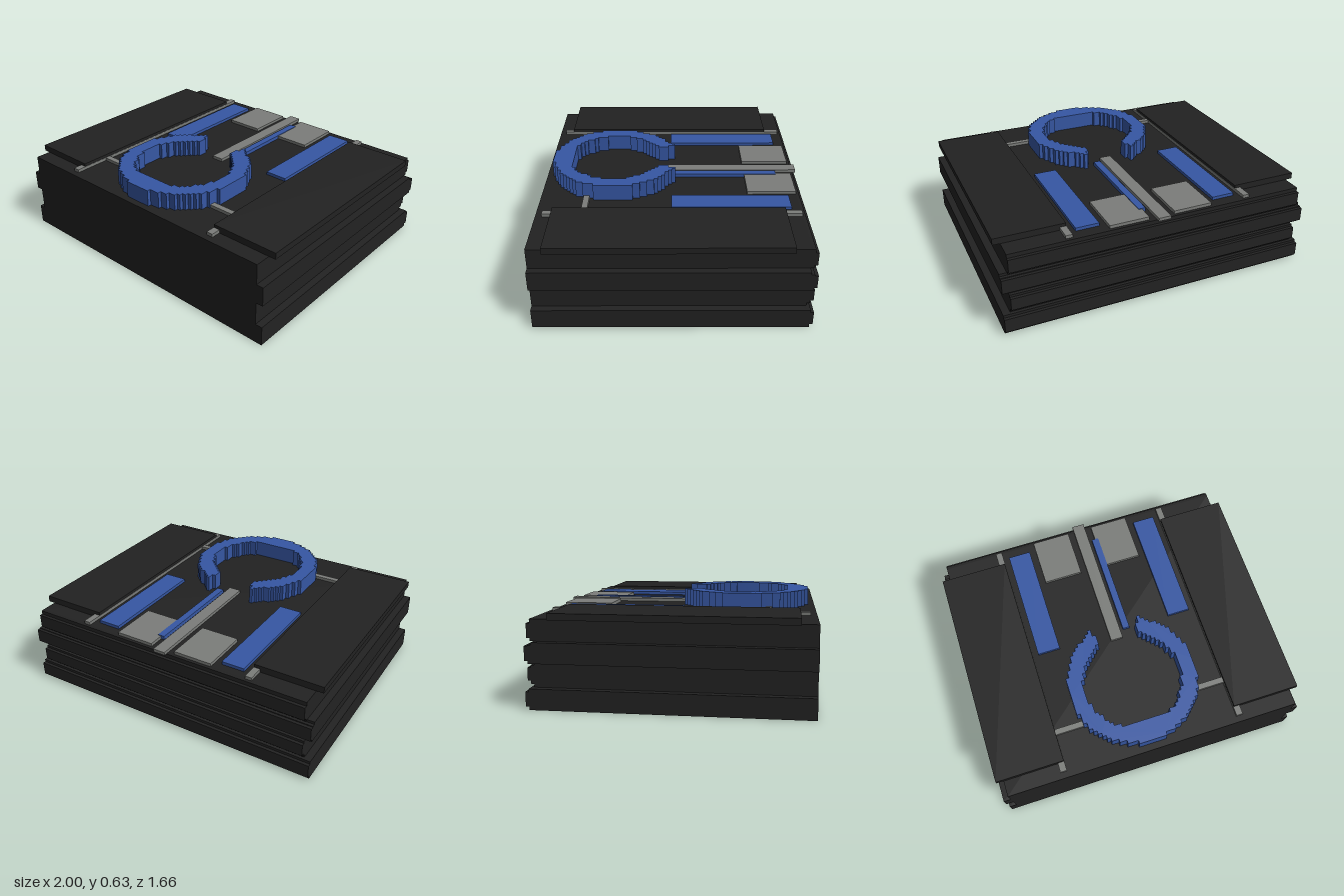
import * as THREE from 'three';

const black = new THREE.MeshStandardMaterial({ color: 0x222222 });
black.name = 'black';
const blue = new THREE.MeshStandardMaterial({ color: 0x3657a3 });
blue.name = 'blue';
const grey = new THREE.MeshStandardMaterial({ color: 0x7b7d7a });
grey.name = 'grey';

// box from its minimum and maximum on each axis
function box(parent, name, material, [x0, x1], [y0, y1], [z0, z1]) {
  const mesh = new THREE.Mesh(new THREE.BoxGeometry(x1 - x0, y1 - y0, z1 - z0), material);
  mesh.position.set((x0 + x1) / 2, (y0 + y1) / 2, (z0 + z1) / 2);
  mesh.name = name;
  parent.add(mesh);
  return mesh;
}

// the same box on both sides of x = 0
function pair(parent, name, material, [x0, x1], y, z) {
  box(parent, name + 'Left', material, [x0, x1], y, z);
  box(parent, name + 'Right', material, [-x1, -x0], y, z);
}

// open ring with a stepped, block-like outline
function steppedRing() {
  const step = 0.0225, cz = 0.375, outerR = 0.414, innerR = 0.312;
  const snap = (v) => Math.round(v / step) * step;
  const half = (r, dz) => Math.sqrt(Math.max(0, r * r - dz * dz));
  const outer = [], inner = [];
  for (let i = 0; i < 36; i++) {
    const z0 = -0.022 + i * step, z1 = z0 + step;
    const dz = (z0 + z1) / 2 - cz;
    const xi = Math.max(snap(half(innerR, dz)), snap(-0.42 * dz));
    const xo = Math.max(snap(half(outerR, dz)), xi + step);
    outer.push([xo, z0], [xo, z1]);
    if (z1 < cz + 0.3) inner.push([xi, z0], [xi, z1]);
  }
  const flip = (list) => list.map(([x, z]) => [-x, z]);
  const outline = [
    ...outer, ...flip(outer).reverse(),
    ...flip(inner), ...inner.slice().reverse(),
  ].map(([x, z]) => new THREE.Vector2(x, -z));
  const geometry = new THREE.ExtrudeGeometry(new THREE.Shape(outline), {
    depth: 0.105, bevelEnabled: false,
  });
  geometry.rotateX(-Math.PI / 2);
  return geometry;
}

export function createModel() {
  const model = new THREE.Group();
  model.name = 'model';

  // stacked body layers: bottom, top, half width, step range, ridge range
  const body = new THREE.Group();
  body.name = 'body';
  model.add(body);
  const layers = [
    [0, 0.125, 1, 0, 0.125, 0.02, 0.108],
    [0.125, 0.272, 0.955, 0.143, 0.255, 0.163, 0.24],
    [0.272, 0.396, 1, 0.272, 0.38, 0.288, 0.375],
    [0.396, 0.525, 0.955, 0.396, 0.525, 0.415, 0.5],
  ];
  for (const [y0, y1, w, s0, s1, r0, r1] of layers) {
    box(body, 'bodyLayer', black, [-w, w], [y0, y1], [-0.79, 0.83]);
    box(body, 'backStep', black, [-w, w], [s0, s1], [-0.81, -0.79]);
    box(body, 'backRidge', black, [-w, w], [r0, r1], [-0.83, -0.81]);
  }

  // raised side panels with thin strips running under their inner edges
  const top = 0.525;
  pair(model, 'sidePanel', black, [0.565, 1], [top, 0.565], [-0.69, 0.73]);
  pair(model, 'edgeStrip', grey, [0.563, 0.605], [top, 0.545], [-0.79, 0.79]);
  pair(model, 'crossBar', grey, [0.36, 0.565], [top, 0.545], [0.52, 0.557]);

  // plates and bars on the deck
  pair(model, 'squarePlate', grey, [0.083, 0.335], [top, 0.545], [-0.79, -0.48]);
  box(model, 'centreBar', grey, [-0.04, 0.04], [top, 0.545], [-0.83, 0.06]);
  pair(model, 'longBar', blue, [0.378, 0.525], [top, 0.545], [-0.735, 0.005]);
  box(model, 'thinBar', blue, [0.06, 0.105], [top, 0.549], [-0.69, 0.005]);

  const ring = new THREE.Mesh(steppedRing(), blue);
  ring.name = 'openRing';
  ring.position.y = top;
  model.add(ring);

  return model;
}
